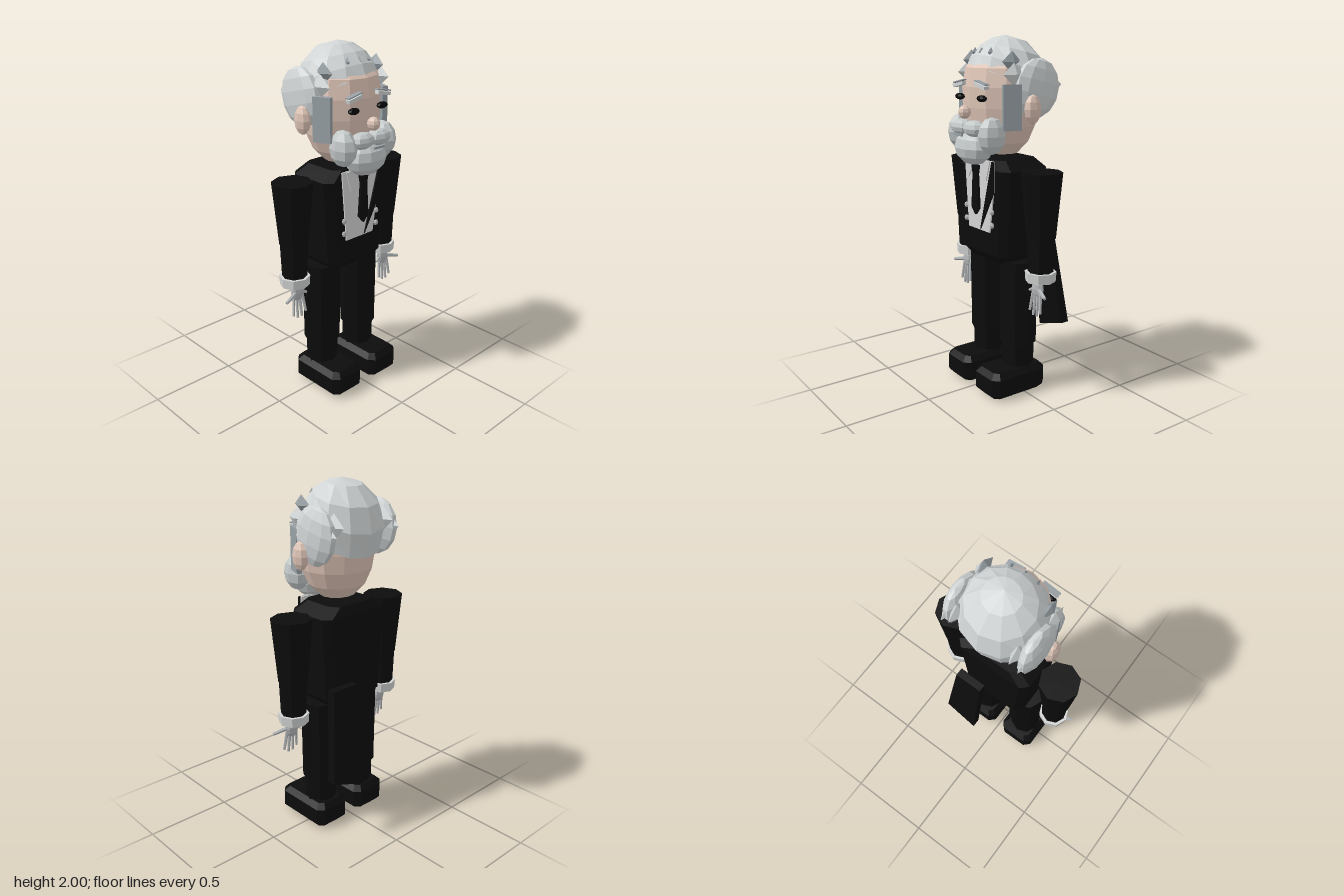
import * as THREE from 'three';

const mat = (name, color, side = THREE.FrontSide) => {
  const m = new THREE.MeshStandardMaterial({ color, flatShading: true, side });
  m.name = name;
  return m;
};

// Stacked chamfered rectangles: rows are [y, halfX, halfZ, chamfer]
function loft(rows) {
  const pos = [], idx = [], n = 8;
  for (const [y, x, z, c] of rows) {
    const ring = [[x, z - c], [x - c, z], [c - x, z], [-x, z - c], [-x, c - z], [c - x, -z], [x - c, -z], [x, c - z]];
    for (const [px, pz] of ring) pos.push(px, y, pz);
  }
  for (let r = 0; r < rows.length - 1; r++)
    for (let i = 0; i < n; i++) {
      const a = r * n + i, b = r * n + (i + 1) % n;
      idx.push(a, a + n, b, b, a + n, b + n);
    }
  const t = (rows.length - 1) * n;
  for (let i = 1; i < n - 1; i++) idx.push(0, i, i + 1, t, t + i + 1, t + i);
  // the ring runs clockwise seen from above, so flip into outward order
  for (let i = 0; i < idx.length; i += 3) [idx[i + 1], idx[i + 2]] = [idx[i + 2], idx[i + 1]];
  const g = new THREE.BufferGeometry();
  g.setAttribute('position', new THREE.Float32BufferAttribute(pos, 3));
  g.setIndex(idx);
  g.computeVertexNormals();
  return g;
}

export function createModel() {
  const root = new THREE.Group();
  root.name = 'gentleman';
  const suit = mat('black suit', 0x0c0c0c, THREE.DoubleSide);
  const skin = mat('skin', 0xdfc5b7);
  const hair = mat('silver hair', 0xd0d4d4, THREE.DoubleSide);
  const beardMat = mat('beard grey', 0xc4c9ca);
  const grey = mat('dark grey hair', 0x98a1a6);
  const shirt = mat('shirt white', 0xd2d4d3, THREE.DoubleSide);
  const glove = mat('glove grey', 0xb2b5b7);
  const ink = mat('eye black', 0x050505);

  const add = (name, geo, material, x = 0, y = 0, z = 0, parent = root) => {
    const m = new THREE.Mesh(geo, material);
    m.name = name;
    m.position.set(x, y, z);
    parent.add(m);
    return m;
  };
  const blob = (name, material, p, s, w = 8, h = 6) => {
    const m = add(name, new THREE.SphereGeometry(1, w, h), material, ...p);
    m.scale.set(...s);
    return m;
  };
  const spike = (name, material, p, s) => {
    const m = add(name, new THREE.OctahedronGeometry(1), material, ...p);
    m.scale.set(...s);
    return m;
  };
  const plate = (name, material, pts, z, depth = 0.008) => {
    const s = new THREE.Shape(pts.map(([x, y]) => new THREE.Vector2(x, y)));
    return add(name, new THREE.ExtrudeGeometry(s, { depth, bevelEnabled: false }), material, 0, 0, z);
  };
  // Rod from a to b
  const rod = (name, a, b, r, material) => {
    const A = new THREE.Vector3(...a), B = new THREE.Vector3(...b), d = B.clone().sub(A);
    const m = add(name, new THREE.CylinderGeometry(r * 0.75, r, d.length(), 6), material);
    m.position.copy(A).add(B).multiplyScalar(0.5);
    m.quaternion.setFromUnitVectors(new THREE.Vector3(0, 1, 0), d.normalize());
  };

  // Torso, shirt front, lapel and tie
  add('jacket', loft([[0.76, 0.16, 0.115, 0.03], [0.81, 0.2, 0.155, 0.04], [1.29, 0.232, 0.155, 0.04], [1.34, 0.15, 0.13, 0.04]]), suit, 0, 0, -0.015);
  plate('shirtFront', shirt, [[-0.105, 0.94], [0.1, 0.94], [0.14, 1.2], [0.14, 1.34], [-0.14, 1.34]], 0.141);
  plate('lapel', suit, [[0.025, 0.95], [0.15, 1.17], [0.15, 1.34], [0.135, 1.34]], 0.152);
  plate('tie', suit, [[0, 1.03], [0.035, 1.07], [0.022, 1.26], [0.033, 1.31], [-0.033, 1.31], [-0.022, 1.26], [-0.035, 1.07]], 0.162, 0.015);
  for (const s of [1, -1]) {
    plate('collarPoint', shirt, [[s * 0.02, 1.34], [s * 0.12, 1.34], [s * 0.085, 1.23]], 0.155, 0.006);
    for (const y of [0.985, 1.06]) blob('button', glove, [s * 0.125, y, 0.15], [0.017, 0.017, 0.012], 6, 4);
  }

  // Single slanted coat tail at the back
  const tail = plate('coatTail', suit, [[0.05, 0.9], [0.22, 0.9], [0.28, 0.38], [0.07, 0.31]], 0, 0.05);
  const tp = tail.geometry.attributes.position;
  for (let i = 0; i < tp.count; i++) tp.setZ(i, tp.getZ(i) - 0.215 - (0.9 - tp.getY(i)) * 0.125);

  for (const s of [1, -1]) {
    // Arm, cuff and gloved hand
    const x = s * 0.345, az = -0.018;
    add('upperArm', new THREE.CylinderGeometry(0.113, 0.08, 0.36, 8), suit, x, 1.12, az);
    add('forearm', new THREE.CylinderGeometry(0.077, 0.07, 0.2, 8), suit, x, 0.845, az);
    add('cuff', new THREE.CylinderGeometry(0.087, 0.083, 0.055, 8), shirt, x, 0.726, az);
    blob('palm', glove, [x, 0.655, 0], [0.042, 0.055, 0.026]);
    for (let i = 0; i < 4; i++) {
      const f = (i - 1.5) * 0.02;
      rod('finger', [x + f, 0.64, 0.005], [x + f * 1.5, i % 3 ? 0.505 : 0.525, 0.018], 0.01, glove);
    }
    rod('thumb', [x + s * 0.025, 0.655, 0.01], [s * 0.45, 0.635, 0.035], 0.012, glove);
    rod('innerFinger', [x - s * 0.02, 0.66, 0], [s * 0.285, 0.635, 0.01], 0.01, glove);

    // Leg and shoe
    const lx = s * 0.147;
    add('thigh', new THREE.CylinderGeometry(0.108, 0.104, 0.49, 8), suit, lx, 0.53, -0.015);
    add('shin', new THREE.CylinderGeometry(0.092, 0.09, 0.15, 8), suit, lx, 0.22, -0.015);
    add('shoe', loft([[0, 0.085, 0.155, 0.025], [0.03, 0.114, 0.183, 0.035], [0.125, 0.114, 0.183, 0.035], [0.155, 0.085, 0.155, 0.025]]), suit, lx, 0, 0.042);
  }

  // Head
  const profile = [[0, 1.35], [0.1, 1.365], [0.165, 1.43], [0.205, 1.52], [0.222, 1.62], [0.225, 1.73], [0.205, 1.83], [0.1, 1.93]];
  const head = add('head', new THREE.LatheGeometry(profile.map(p => new THREE.Vector2(...p)), 12), skin);
  head.scale.z = 0.92;
  blob('nose', skin, [0, 1.6, 0.238], [0.034, 0.037, 0.036]);

  // Hair cap: short at the forehead, long at the nape
  const cap = new THREE.SphereGeometry(1, 12, 4, 0, Math.PI * 2, 0, 2);
  const cp = cap.attributes.position, uv = cap.attributes.uv;
  for (let i = 0; i < cp.count; i++) {
    const phi = uv.getX(i) * Math.PI * 2;
    const th = (1 - uv.getY(i)) * THREE.MathUtils.degToRad(96 - 26 * Math.sin(phi));
    cp.setXYZ(i, -Math.cos(phi) * Math.sin(th) * 0.24, Math.cos(th) * 0.26, Math.sin(phi) * Math.sin(th) * 0.228);
  }
  cap.computeVertexNormals();
  add('hairCap', cap, hair, 0, 1.74, -0.032);
  for (const x of [-0.075, 0, 0.075]) spike('foreheadLock', grey, [x, 1.91, 0.125 - Math.abs(x) * 0.1], [0.012, 0.026, 0.02]);

  for (const s of [1, -1]) {
    blob('ear', skin, [s * 0.27, 1.62, -0.012], [0.036, 0.078, 0.052]);
    // Side hair
    const puff = blob('sideHair', hair, [s * 0.222, 1.725, -0.075], [0.055, 0.16, 0.145], 10, 7);
    puff.rotation.x = -0.25;
    for (const [x, y, z] of [[0.225, 1.74, -0.165], [0.175, 1.78, -0.165]])
      spike('backLock', hair, [s * x, y, z], [0.035, 0.07, 0.075]);
    const lock = spike('templeLock', grey, [s * 0.185, 1.865, 0.065], [0.028, 0.055, 0.06]);
    lock.rotation.z = -s * 0.15;
    spike('upperLock', hair, [s * 0.215, 1.8, 0.07], [0.03, 0.06, 0.07]);
    const burn = add('sideburn', new THREE.BoxGeometry(0.03, 0.24, 0.1), grey, s * 0.218, 1.63, 0.085);
    burn.rotation.y = -s * 0.38;
    // Eyes and brows
    blob('eye', ink, [s * 0.105, 1.675, 0.198], [0.037, 0.018, 0.022], 10, 6);
    const brow = add('brow', new THREE.BoxGeometry(0.095, 0.018, 0.03), hair, s * 0.105, 1.74, 0.2);
    brow.rotation.z = -s * 0.2;
    const ridge = add('browLine', new THREE.BoxGeometry(0.1, 0.006, 0.03), grey, s * 0.105, 1.757, 0.198);
    ridge.rotation.z = -s * 0.2;
    // Whiskers
    blob('cheekBeard', beardMat, [s * 0.148, 1.48, 0.165], [0.064, 0.1, 0.085]);
    blob('moustache', beardMat, [s * 0.06, 1.515, 0.215], [0.08, 0.045, 0.055]);
  }
  blob('chinBeard', beardMat, [0, 1.405, 0.185], [0.135, 0.095, 0.088], 10, 6);
  add('mouth', new THREE.BoxGeometry(0.075, 0.012, 0.009), grey, 0, 1.482, 0.279);
  return root;
}
